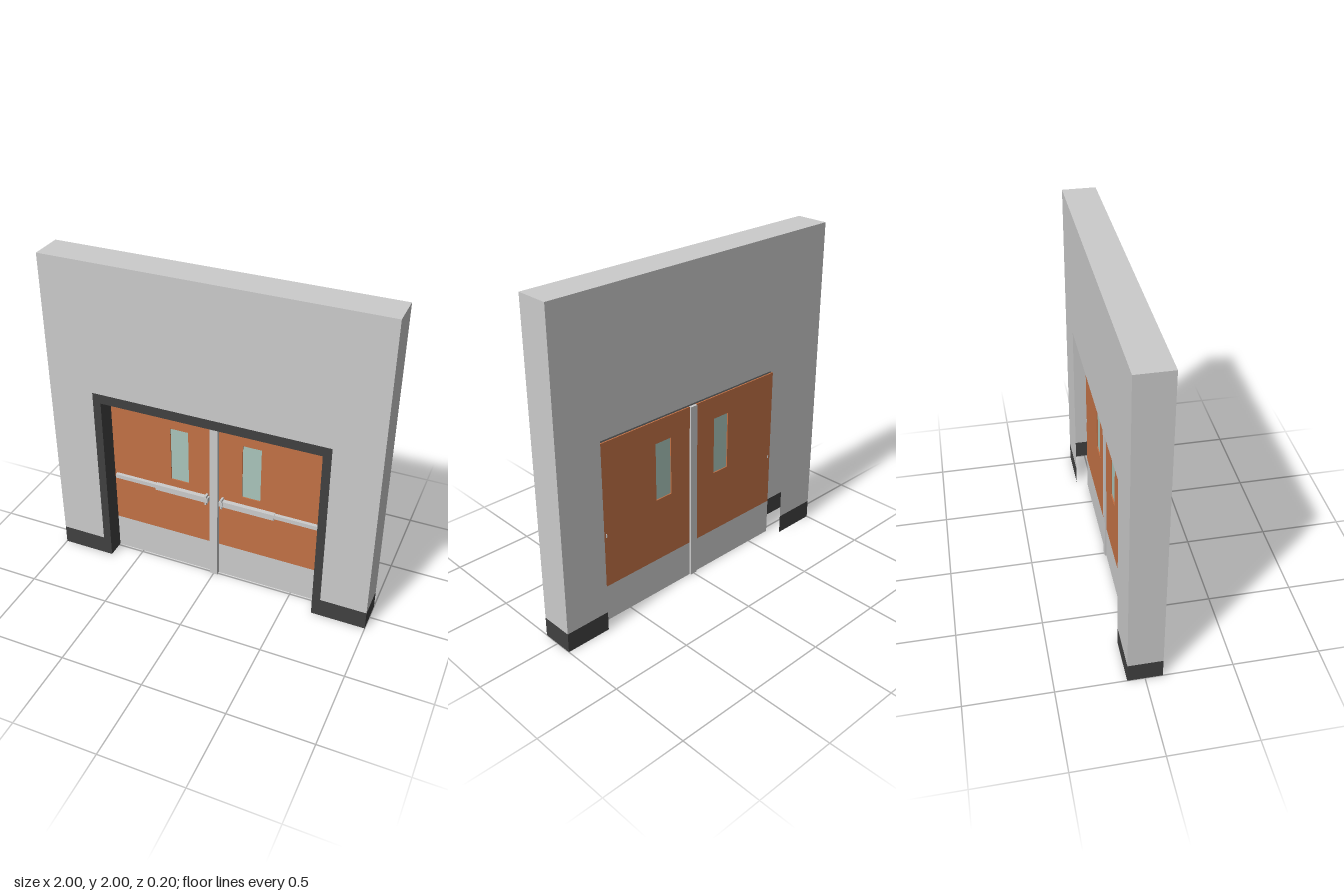
import * as THREE from 'three';

const mat = (color) => new THREE.MeshStandardMaterial({ color, side: THREE.DoubleSide });

export function createModel() {
  const model = new THREE.Group();
  const grey = mat(0xcccccc), dark = mat(0x414141), orange = mat(0xc37246), glass = mat(0xaac6bc);

  const add = (name, geometry, material, parent = model) => {
    const mesh = new THREE.Mesh(geometry, material);
    mesh.name = name;
    parent.add(mesh);
    return mesh;
  };
  // Box given by its two extreme corners
  const box = (name, [x0, y0, z0], [x1, y1, z1], material, parent) => {
    const g = new THREE.BoxGeometry(Math.abs(x1 - x0), y1 - y0, z1 - z0);
    g.translate((x0 + x1) / 2, (y0 + y1) / 2, (z0 + z1) / 2);
    return add(name, g, material, parent);
  };
  const shape = (points) => new THREE.Shape(points.map(([x, y]) => new THREE.Vector2(x, y)));
  // Flat sheet in the x-y plane, facing forward or back
  const sheet = (name, points, z, material, back = false) => {
    const g = new THREE.ShapeGeometry(shape(points));
    if (back) g.rotateY(Math.PI);
    g.translate(0, 0, z);
    return add(name, g, material);
  };
  // Upright sheet in the y-z plane
  const sideSheet = (name, x, y0, y1, z0, z1, facing, material) => {
    const g = new THREE.PlaneGeometry(z1 - z0, y1 - y0);
    g.rotateY(facing * Math.PI / 2);
    g.translate(x, (y0 + y1) / 2, (z0 + z1) / 2);
    return add(name, g, material);
  };
  // Level sheet in the x-z plane
  const levelSheet = (name, halfWidth, y, z0, z1, facing, material) => {
    const g = new THREE.PlaneGeometry(halfWidth * 2, z1 - z0);
    g.rotateX(-facing * Math.PI / 2);
    g.translate(0, y, (z0 + z1) / 2);
    return add(name, g, material);
  };

  const depth = 0.1, outer = 0.72, inner = 0.67, headTop = 1.19, headLow = 1.13, baseTop = 0.12;
  const doorFront = -0.014, doorBack = -0.032;

  // Hollow wall around the doorway
  const wallOutline = [[-1, baseTop], [-outer, baseTop], [-outer, headTop], [outer, headTop],
    [outer, baseTop], [1, baseTop], [1, 2], [-1, 2]];
  sheet('wallFront', wallOutline, depth, grey);
  sheet('wallBack', wallOutline, -depth, grey, true);
  levelSheet('wallTop', 1, 2, -depth, depth, 1, grey);

  // Wall ends and dark base panels
  for (const s of [1, -1]) {
    sideSheet('wallEnd', s, baseTop, 2, -depth, depth, s, grey);
    sideSheet('baseEnd', s, 0, baseTop, -depth, depth, s, dark);
    for (const z of [depth, -depth]) {
      const g = new THREE.PlaneGeometry(1 - outer, baseTop);
      if (z < 0) g.rotateY(Math.PI);
      g.translate(s * (1 + outer) / 2, baseTop / 2, z);
      add('basePanel', g, dark);
    }
    // Frame reveal beside the door
    sideSheet('frameJamb', s * inner, 0, headLow, doorBack + 0.008, depth, -s, dark);
  }

  // Door frame flush with the front of the wall
  sheet('frameFront', [[-outer, 0], [-inner, 0], [-inner, headLow], [inner, headLow],
    [inner, 0], [outer, 0], [outer, headTop], [-outer, headTop]], depth, dark);
  levelSheet('frameHead', inner, headLow, doorBack + 0.008, depth, -1, dark);

  // Central post between the leaves
  box('centrePost', [-0.025, 0, -0.042], [0.025, headLow, 0.012], grey);

  // Two mirrored door leaves with their hardware
  for (const s of [1, -1]) {
    const door = new THREE.Group();
    door.name = s > 0 ? 'leftDoor' : 'rightDoor';
    model.add(door);
    const part = (name, a, b, material) =>
      box(name, [s * a[0], a[1], a[2]], [s * b[0], b[1], b[2]], material, door);

    // Leaf with window opening
    const leaf = shape([[s * 0.025, 0.23], [s * inner, 0.23], [s * inner, headLow], [s * 0.025, headLow]]);
    leaf.holes.push(new THREE.Path([[0.17, 0.63], [0.285, 0.63], [0.285, 0.99], [0.17, 0.99]]
      .map(([x, y]) => new THREE.Vector2(s * x, y))));
    const g = new THREE.ExtrudeGeometry(leaf, { depth: doorFront - doorBack, bevelEnabled: false });
    g.translate(0, 0, doorBack);
    add('doorLeaf', g, orange, door);
    part('windowGlass', [0.17, 0.63, -0.025], [0.285, 0.99, -0.021], glass);
    part('kickPlate', [0.025, 0, doorBack], [inner, 0.23, doorFront], grey);

    // Push bar, its housing, latch and end fixing
    part('pushBarHousing', [0.045, 0.54, doorFront], [0.382, 0.578, 0.014], grey);
    part('pushBar', [0.382, 0.548, doorFront], [0.655, 0.574, 0.008], grey);
    part('latchCover', [0.036, 0.545, doorFront], [0.058, 0.575, 0.02], grey);
    part('latchLever', [0.044, 0.527, doorFront], [0.056, 0.592, 0.018], grey);
    part('barFixing', [0.65, 0.55, -0.035], [0.656, 0.572, doorFront], grey);

    // Door closer
    part('doorCloser', [0.4, 1.095, doorFront], [0.57, 1.126, 0.02], grey);
  }
  return model;
}
